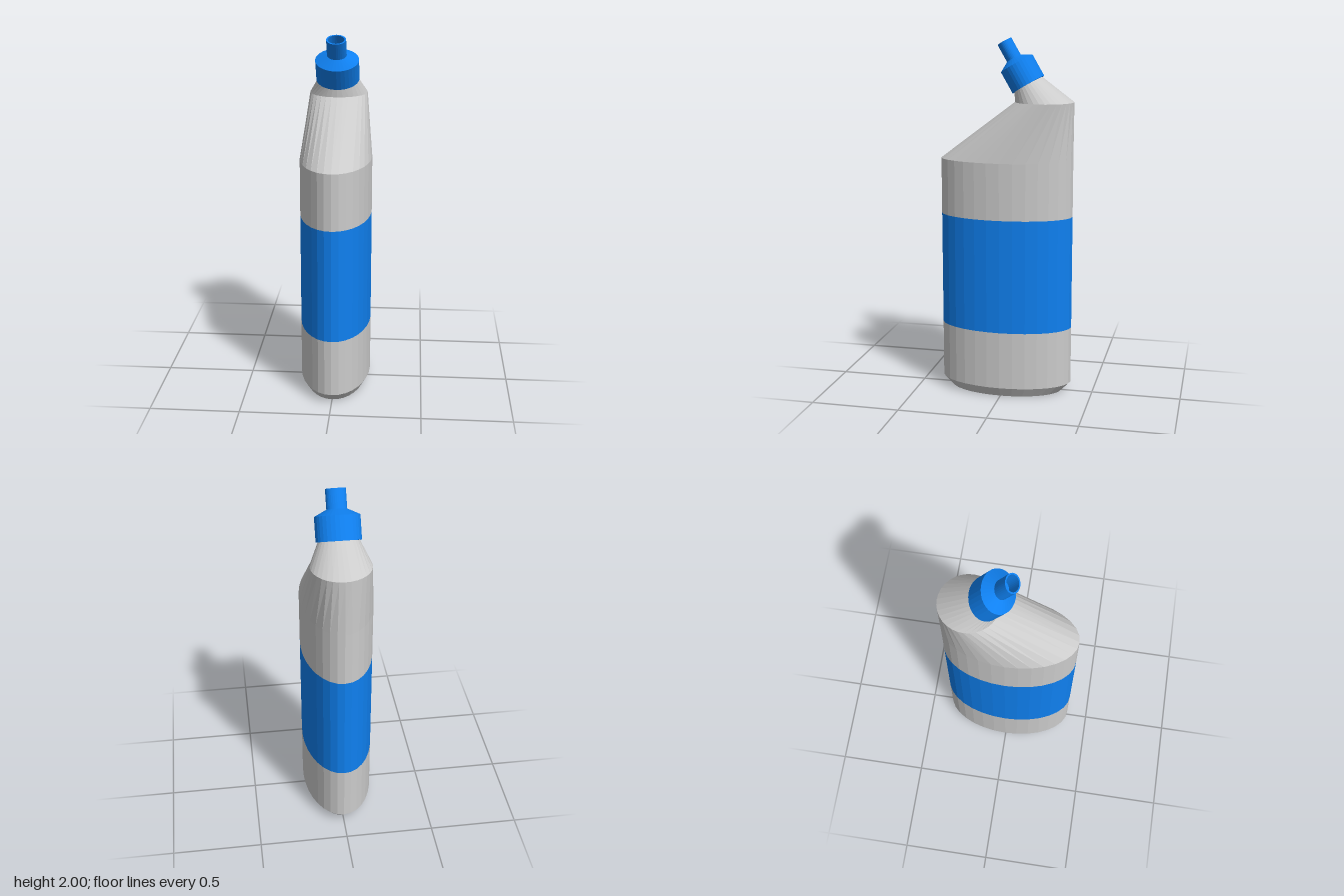
import * as THREE from 'three';

const SEGMENTS = 32;
const TILT = Math.PI / 6; // forward lean of the neck, cap and nozzle

// Elliptical cross-section, leaning towards +z by tilt
const ring = (y, z, rx, rz, tilt = 0) => ({ y, z, rx, rz, tilt });

// Skin through a list of rings; a ring of zero radius closes an end
function loft(rings) {
  const positions = [];
  const index = [];
  for (const { y, z, rx, rz, tilt } of rings) {
    for (let i = 0; i < SEGMENTS; i++) {
      const a = (i / SEGMENTS) * Math.PI * 2;
      const d = rz * Math.cos(a);
      positions.push(rx * Math.sin(a), y - d * Math.sin(tilt), z + d * Math.cos(tilt));
    }
  }
  for (let r = 0; r < rings.length - 1; r++) {
    for (let i = 0; i < SEGMENTS; i++) {
      const j = (i + 1) % SEGMENTS;
      const a = r * SEGMENTS + i, b = r * SEGMENTS + j;
      const c = b + SEGMENTS, d = a + SEGMENTS;
      if (rings[r].rx > 0) index.push(a, b, c);
      if (rings[r + 1].rx > 0) index.push(a, c, d);
    }
  }
  const geometry = new THREE.BufferGeometry();
  geometry.setAttribute('position', new THREE.Float32BufferAttribute(positions, 3));
  geometry.setIndex(index);
  geometry.computeVertexNormals();
  return geometry;
}

// Ring on the leaning axis, t units above the underside of the cap
const axisRing = (t, rx, rz) =>
  ring(1.748 + t * Math.cos(TILT), -0.121 + t * Math.sin(TILT), rx, rz, TILT);

export function createModel() {
  const group = new THREE.Group();
  const grey = new THREE.MeshStandardMaterial({ color: 0xcccccc, flatShading: true });
  const blue = new THREE.MeshStandardMaterial({ color: 0x0f80f0, flatShading: true });

  const add = (name, material, rings) => {
    const mesh = new THREE.Mesh(loft(rings), material);
    mesh.name = name;
    group.add(mesh);
  };
  const bodyRing = (y) => ring(y, 0, 0.2, 0.375);
  const neckBase = ring(1.655, -0.2125, 0.1625, 0.1625);

  // Oval bottle with a chamfered foot and a wrap-around band
  add('lowerBody', grey, [ring(0, 0, 0, 0), ring(0, 0, 0.17, 0.32), bodyRing(0.055), bodyRing(0.38)]);
  add('labelBand', blue, [bodyRing(0.38), bodyRing(1.02)]);
  add('upperBody', grey, [bodyRing(1.02), bodyRing(1.335)]);

  // Shoulder sweeps back to a round neck, which leans forward
  add('shoulder', grey, [bodyRing(1.335), neckBase]);
  add('neck', grey, [neckBase, axisRing(0, 0.11, 0.086)]);

  // Cap with a shallow conical top
  add('cap', blue, [
    axisRing(0, 0, 0), axisRing(0, 0.12, 0.098), axisRing(0.13, 0.12, 0.098), axisRing(0.163, 0.054, 0.042),
  ]);

  // Hollow nozzle: outer wall, rim, bore and floor
  add('nozzle', blue, [
    axisRing(0.163, 0.054, 0.042), axisRing(0.268, 0.054, 0.042), axisRing(0.268, 0.045, 0.035),
    axisRing(0.17, 0.045, 0.035), axisRing(0.17, 0, 0),
  ]);

  return group;
}
